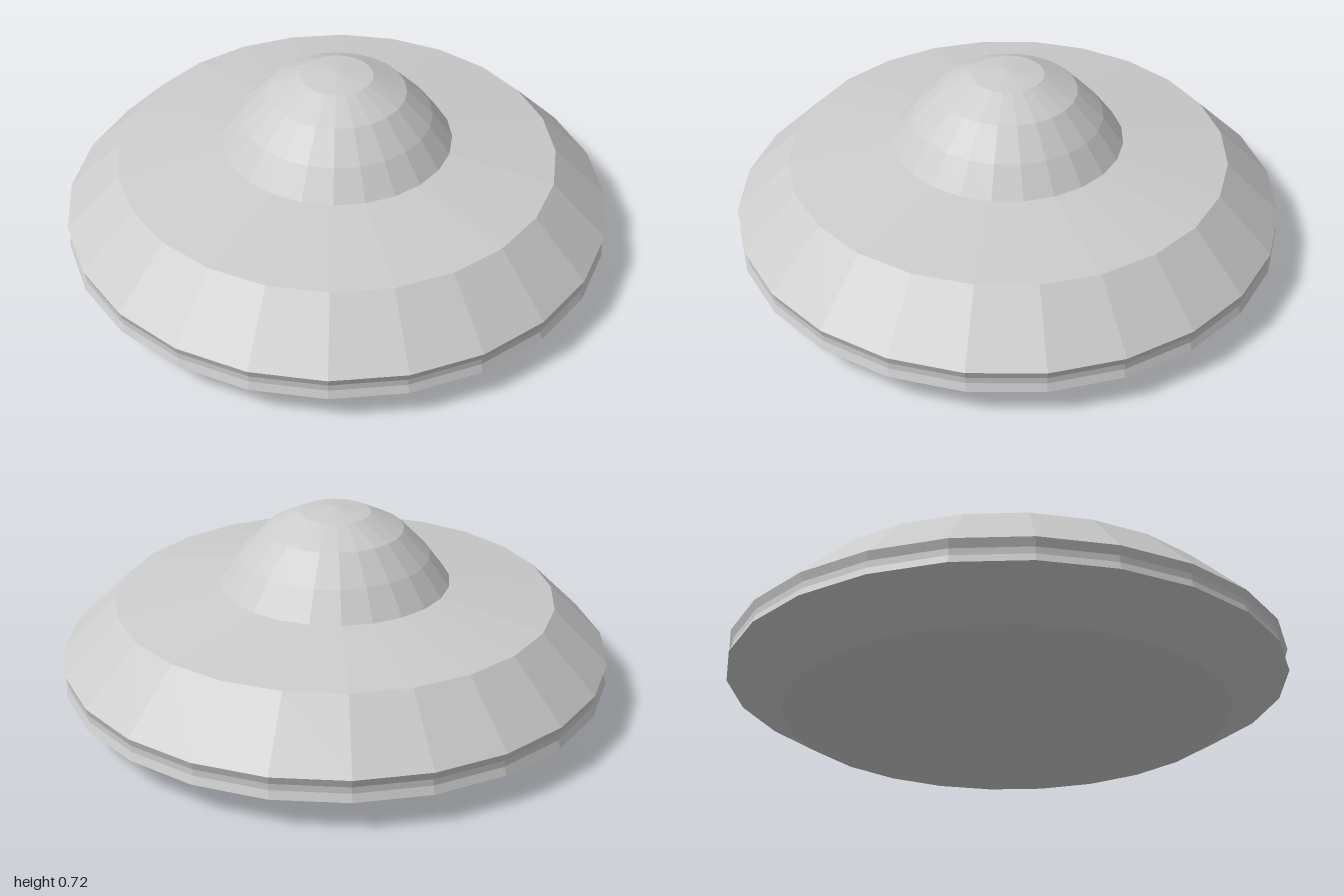
import * as THREE from 'three';

const SIDES = 24;

export function createModel() {
  const model = new THREE.Group();
  model.name = 'flyingSaucer';
  const material = new THREE.MeshStandardMaterial({ color: 0xcccccc, flatShading: true });

  // Each part is a faceted ring turned from [radius, height] points, bottom to top
  const addRing = (name, profile) => {
    const points = profile.map(([r, y]) => new THREE.Vector2(r, y));
    const mesh = new THREE.Mesh(new THREE.LatheGeometry(points, SIDES), material);
    mesh.name = name;
    model.add(mesh);
  };

  // Flat base and flared underside
  addRing('underside', [[0, 0], [0.8, 0], [1, 0.115]]);

  // Rim with a shallow groove around its middle
  addRing('rim', [[1, 0.115], [0.99, 0.143], [0.99, 0.166], [1, 0.195]]);

  // Sloping upper hull and the nearly flat deck
  addRing('upperHull', [[1, 0.195], [0.8, 0.39]]);
  addRing('deck', [[0.8, 0.39], [0.42, 0.445]]);

  // Stepped dome
  addRing('dome', [[0.42, 0.445], [0.345, 0.545], [0.25, 0.642], [0.13, 0.702], [0, 0.718]]);

  return model;
}
